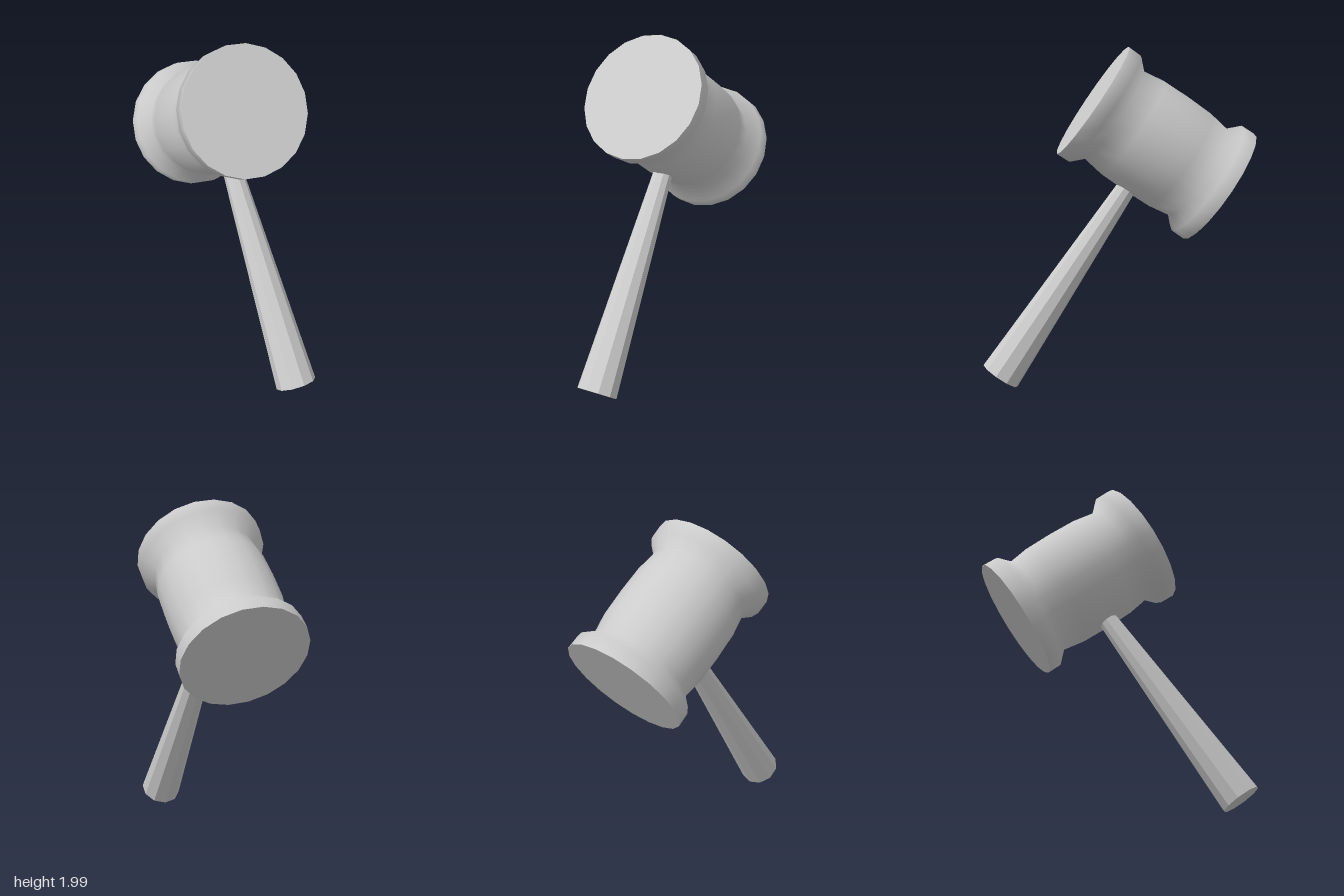
import * as THREE from 'three';

const HEAD_SIDES = 20;
const HANDLE_SIDES = 10;

// Turn a group so its local y follows yDir and its local z follows zDir
function orient(group, yDir, zDir) {
  const y = yDir.clone().normalize();
  const x = new THREE.Vector3().crossVectors(y, zDir).normalize();
  const z = new THREE.Vector3().crossVectors(x, y);
  group.quaternion.setFromRotationMatrix(new THREE.Matrix4().makeBasis(x, y, z));
}

export function createModel() {
  const model = new THREE.Group();
  model.name = 'mallet';
  const smooth = new THREE.MeshStandardMaterial({ color: 0xcccccc });
  const faceted = new THREE.MeshStandardMaterial({ color: 0xcccccc, flatShading: true });

  const headAxis = new THREE.Vector3(-0.035, 0.51, 0.745);
  const handleAxis = new THREE.Vector3(-0.02, 1.095, -0.75);

  // Head: barrel with a flared rim at both ends
  const head = new THREE.Group();
  head.name = 'head';
  head.position.set(-0.003, 1.435, -0.2225);
  orient(head, headAxis, handleAxis);

  const half = [[0.17, 0.328], [0.3, 0.308], [0.367, 0.373], [0.453, 0.375]];
  const profile = [
    ...half.slice().reverse().map(([t, r]) => new THREE.Vector2(r, -t)),
    new THREE.Vector2(0.332, 0),
    ...half.map(([t, r]) => new THREE.Vector2(r, t)),
  ];
  const barrel = new THREE.Mesh(new THREE.LatheGeometry(profile, HEAD_SIDES), smooth);
  barrel.name = 'barrel';
  head.add(barrel);

  // Flat striking faces
  for (const s of [1, -1]) {
    const face = new THREE.Mesh(new THREE.CircleGeometry(0.375, HEAD_SIDES), smooth);
    face.name = s > 0 ? 'frontFace' : 'backFace';
    face.position.y = s * 0.453;
    face.rotation.x = -s * Math.PI / 2;
    head.add(face);
  }
  model.add(head);

  // Handle: faceted, narrowing into the head
  const length = 1.45;
  const handleGeometry = new THREE.CylinderGeometry(0.053, 0.12, length, HANDLE_SIDES);
  handleGeometry.translate(0, length / 2, 0);
  const handle = new THREE.Mesh(handleGeometry, faceted);
  handle.name = 'handle';
  handle.position.set(0.021, 0.075, 0.71);
  orient(handle, handleAxis, headAxis);
  model.add(handle);

  return model;
}
